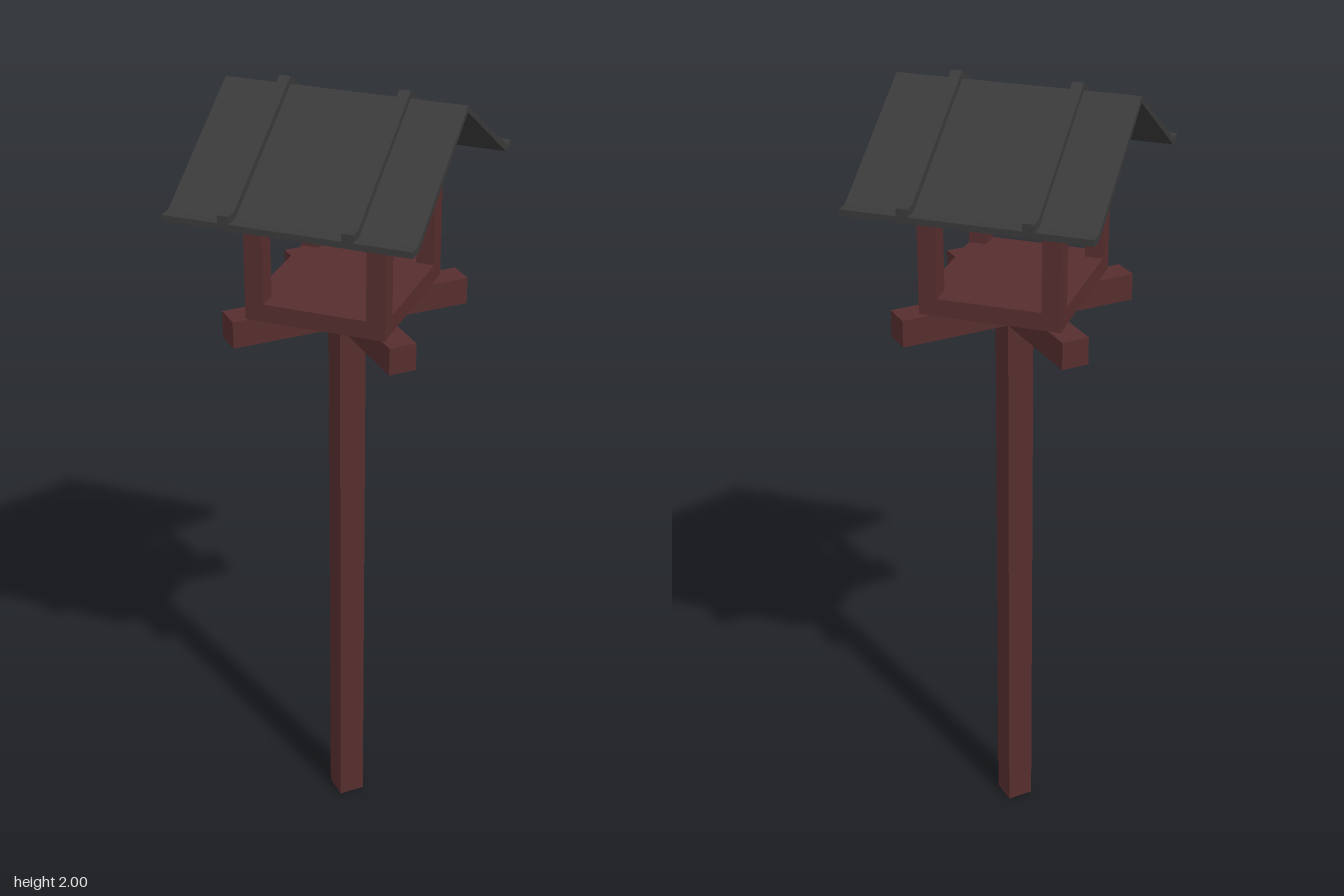
import * as THREE from 'three';

const wood = new THREE.MeshStandardMaterial({ color: 0x572e2e });
wood.name = 'darkRedWood';
const sheet = new THREE.MeshStandardMaterial({ color: 0x3a3a3a });
sheet.name = 'charcoalSheet';

function addMesh(parent, name, geometry, material, x = 0, y = 0, z = 0) {
  const mesh = new THREE.Mesh(geometry, material);
  mesh.name = name;
  mesh.position.set(x, y, z);
  parent.add(mesh);
  return mesh;
}

// Extrude a (z, y) profile along x, centred on x = 0
function prism(points, width) {
  const shape = new THREE.Shape(points.map(([z, y]) => new THREE.Vector2(z, y)));
  const geometry = new THREE.ExtrudeGeometry(shape, { depth: width, bevelEnabled: false });
  return geometry.translate(0, 0, -width / 2).rotateY(-Math.PI / 2);
}

// Folded sheet with flat eave lips, mirrored about the ridge
function foldedSheet(ridge, thickness, bend, width) {
  const lip = ridge - 0.2;
  const half = [[0.36, lip - thickness], [0.36, lip], [bend, lip]];
  const mirrored = half.map(([z, y]) => [-z, y]).reverse();
  return prism([
    ...half, [0, ridge], ...mirrored,
    [-bend + 0.005, lip - thickness], [0, ridge - thickness], [bend - 0.005, lip - thickness],
  ], width);
}

export function createModel() {
  const model = new THREE.Group();
  model.name = 'birdFeeder';

  // Diagonal stand: square post under a cross of two beams
  const stand = new THREE.Group();
  stand.name = 'stand';
  stand.position.set(0.003, 0, -0.01);
  stand.rotation.y = Math.PI / 4;
  model.add(stand);
  const beam = 0.067, reach = 0.303, h = beam / 2;
  addMesh(stand, 'post', new THREE.BoxGeometry(beam, 1.415, beam), wood, 0, 0.7075, 0);
  const cross = new THREE.Shape([
    [reach, -h], [reach, h], [h, h], [h, reach], [-h, reach], [-h, h],
    [-reach, h], [-reach, -h], [-h, -h], [-h, -reach], [h, -reach], [h, -h],
  ].map(([x, y]) => new THREE.Vector2(x, y)));
  const crossGeometry = new THREE.ExtrudeGeometry(cross, { depth: 0.067, bevelEnabled: false });
  addMesh(stand, 'crossBeams', crossGeometry.rotateX(-Math.PI / 2), wood, 0, 1.415, 0);

  // House: floor, corner posts and solid gabled top
  const house = new THREE.Group();
  house.name = 'house';
  house.position.x = 0.002;
  model.add(house);
  addMesh(house, 'floor', new THREE.BoxGeometry(0.34, 0.043, 0.398), wood, 0, 1.5035, 0);
  for (const sx of [-1, 1]) {
    for (const sz of [-1, 1]) {
      addMesh(house, 'cornerPost', new THREE.BoxGeometry(0.045, 0.232, 0.05), wood,
        sx * 0.1475, 1.641, sz * 0.174);
    }
  }
  addMesh(house, 'gable', prism([
    [-0.199, 1.757], [0.199, 1.757], [0.199, 1.834], [0, 1.966], [-0.199, 1.834],
  ], 0.34), wood);

  // Roof sheet and the two raised ribs that follow it
  const roof = new THREE.Group();
  roof.name = 'roof';
  model.add(roof);
  addMesh(roof, 'roofSheet', foldedSheet(1.982, 0.015, 0.325, 0.576), sheet);
  for (const x of [-0.1425, 0.1425]) {
    addMesh(roof, 'roofRib', foldedSheet(2.0, 0.018, 0.33, 0.027), sheet, x);
  }

  return model;
}
